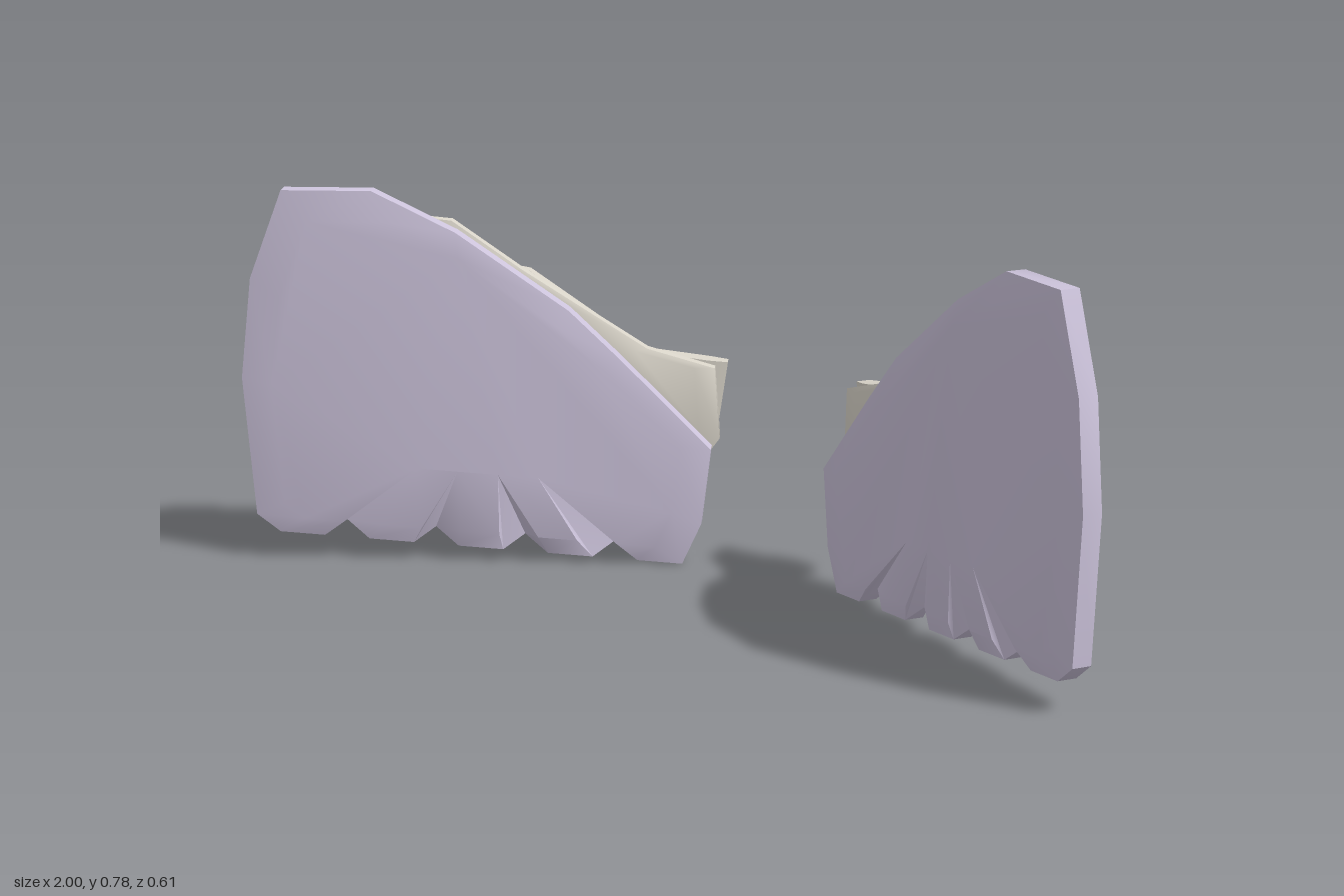
import * as THREE from 'three';
import { toCreasedNormals } from 'three/addons/utils/BufferGeometryUtils.js';

function material(name, color) {
  const m = new THREE.MeshStandardMaterial({ color });
  m.name = name;
  return m;
}

// Evenly spaced feather tips that continue an edge along a line to `end`.
function outline(edge, end, count, drop) {
  const start = edge[edge.length - 1];
  const points = edge.map(([u, y]) => ({ u, y, groove: false }));
  const add = (t, lower, groove) => points.push({
    u: THREE.MathUtils.lerp(start[0], end[0], t),
    y: THREE.MathUtils.lerp(start[1], end[1], t) - lower,
    groove,
  });
  for (let k = 0; k < count; k++) {
    if (k > 0) add(k / count, 0, true);
    add((k + 0.26) / count, drop, false);
    add((k + 0.76) / count, drop, false);
  }
  return points;
}

// Bevelled plate; the grooves between feathers pinch in towards the pivot.
function featherPlate(points, [pu, py], depth, rim, full, side) {
  const loop = points.map(({ u, y, groove }) => {
    const t = groove ? 0.55 : 0.13;
    return {
      outer: new THREE.Vector2(u * side, y),
      inner: new THREE.Vector2(side * (u + (pu - u) * t), y + (py - y) * t),
      rim: groove ? rim * 0.25 : rim,
    };
  });
  if (THREE.ShapeUtils.isClockWise(loop.map((p) => p.outer))) loop.reverse();

  const n = loop.length, pos = [], idx = [];
  const ring = (key, z) => loop.forEach((p) => pos.push(p[key].x, p[key].y, z(p) - depth));
  ring('inner', () => -full);
  ring('outer', (p) => -p.rim);
  ring('outer', (p) => p.rim);
  ring('inner', () => full);
  for (let r = 0; r < 3; r++) {
    for (let i = 0; i < n; i++) {
      const j = (i + 1) % n, a = r * n, b = a + n;
      idx.push(a + i, a + j, b + j, a + i, b + j, b + i);
    }
  }
  // Front and back faces
  for (const [a, b, c] of THREE.ShapeUtils.triangulateShape(loop.map((p) => p.inner), [])) {
    idx.push(3 * n + a, 3 * n + b, 3 * n + c, a, c, b);
  }
  const g = new THREE.BufferGeometry();
  g.setAttribute('position', new THREE.Float32BufferAttribute(pos, 3));
  g.setIndex(idx);
  return toCreasedNormals(g, 0.75);
}

export function createModel() {
  const model = new THREE.Group();
  model.name = 'wingPair';
  const lavender = material('lavender', 0xcdc4dc);
  const ivory = material('ivory', 0xd9d4c9);
  const gold = material('gold', 0xdba52c);

  // Edges run from the root over the top to the outer lower corner.
  const main = outline([
    [0.005, 0.09], [-0.015, 0.25], [0.173, 0.44], [0.277, 0.54], [0.508, 0.7],
    [0.68, 0.785], [0.866, 0.785], [0.935, 0.6], [0.958, 0.39], [0.935, 0.098],
  ], [0, 0.035], 5, 0.034);
  const middle = outline([
    [-0.03, 0.26], [-0.02, 0.41], [0.12, 0.45], [0.38, 0.615], [0.523, 0.715],
    [0.683, 0.73], [0.713, 0.65], [0.733, 0.52], [0.7, 0.335],
  ], [-0.03, 0.235], 4, 0.04);
  const shoulder = outline([
    [0.1, 0.335], [-0.02, 0.25], [-0.045, 0.415], [0.127, 0.437], [0.367, 0.605],
    [0.467, 0.623], [0.507, 0.62], [0.527, 0.57], [0.507, 0.5], [0.467, 0.46],
  ], [0.115, 0.36], 2, 0.02);

  for (const side of [1, -1]) {
    const wing = new THREE.Group();
    wing.name = side > 0 ? 'leftWing' : 'rightWing';
    wing.position.set(0.16 * side, 0, -0.19);
    wing.rotation.y = -side * Math.PI / 6;
    const add = (name, geometry, mat) => {
      const mesh = new THREE.Mesh(geometry, mat);
      mesh.name = name;
      wing.add(mesh);
      return mesh;
    };

    // Three overlapping layers of feathers
    add('mainFeathers', featherPlate(main, [0.47, 0.3], 0, 0.02, 0.03, side), lavender);
    add('middleFeathers', featherPlate(middle, [0.3, 0.42], 0.048, 0.013, 0.021, side), ivory);
    add('shoulderFeathers', featherPlate(shoulder, [0.25, 0.45], 0.086, 0.015, 0.022, side), ivory);

    // Round stud on the back of the shoulder
    const stud = add('shoulderStud', new THREE.SphereGeometry(1, 20, 14), gold);
    stud.scale.set(0.065, 0.065, 0.042);
    stud.position.set(0.071 * side, 0.34, -0.116);
    model.add(wing);
  }
  return model;
}
